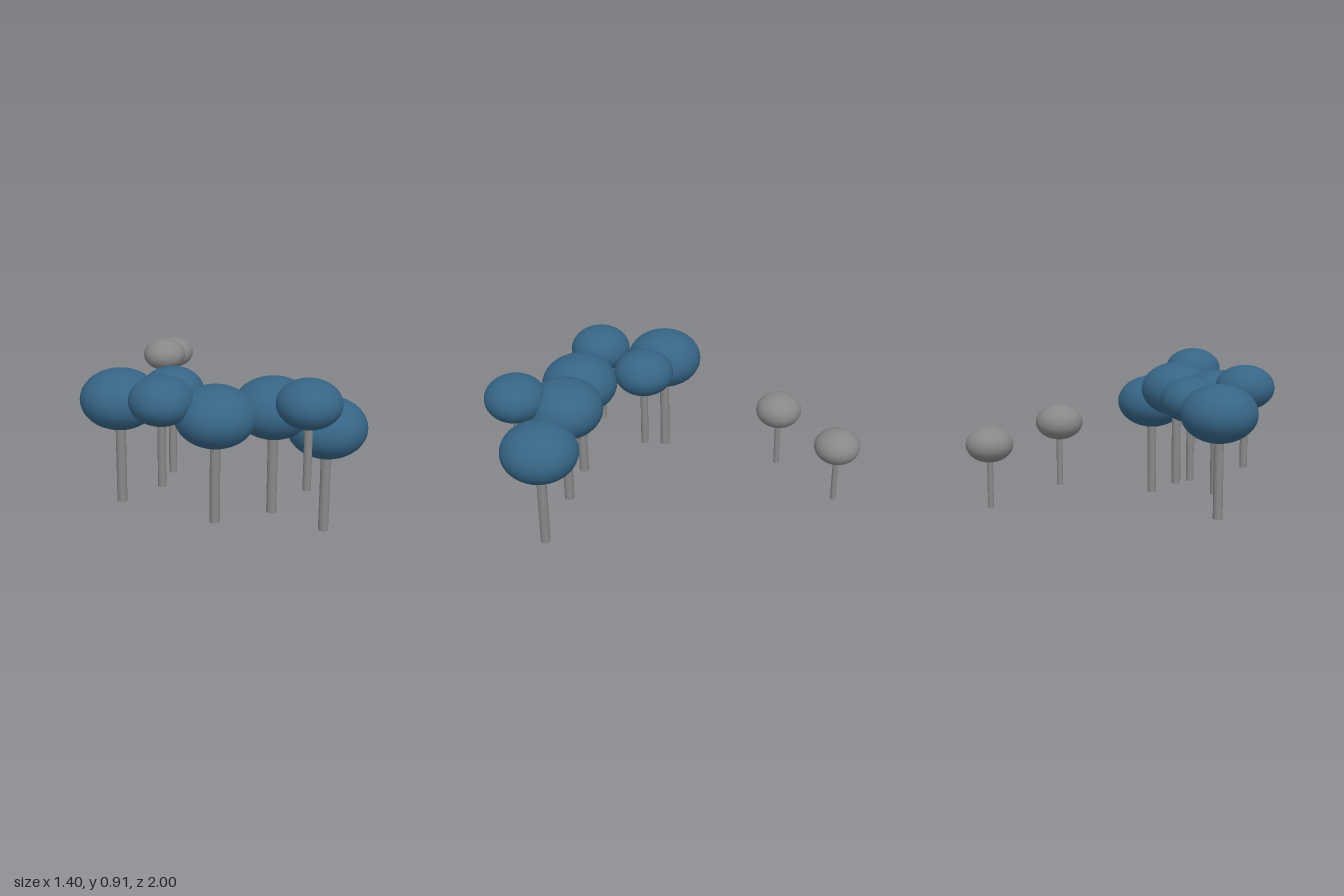
import * as THREE from 'three';

const grey = new THREE.MeshStandardMaterial({ color: 0x888888 });
const blue = new THREE.MeshStandardMaterial({ color: 0x366586 });

// Full-size tree proportions; smaller trees are uniformly scaled
const CROWN_Y = 0.582, CROWN_R = 0.211, CROWN_H = 0.159, TRUNK_R = 0.027;
const crownGeometry = new THREE.SphereGeometry(1, 32, 20).scale(CROWN_R, CROWN_H, CROWN_R).translate(0, CROWN_Y, 0);
const trunkGeometry = new THREE.CylinderGeometry(TRUNK_R, TRUNK_R, CROWN_Y, 24).translate(0, CROWN_Y / 2, 0);

function makeTree(name, x, y, z, size, crownMaterial) {
  const tree = new THREE.Group();
  tree.name = name;
  const trunk = new THREE.Mesh(trunkGeometry, grey);
  trunk.name = 'trunk';
  const crown = new THREE.Mesh(crownGeometry, crownMaterial);
  crown.name = 'crown';
  tree.add(trunk, crown);
  tree.position.set(x, y, z);
  tree.scale.setScalar(size);
  return tree;
}

export function createModel() {
  const group = new THREE.Group();
  group.name = 'treeCluster';

  const LARGE = 1, MEDIUM = 0.79, SMALL = 0.577;
  // Foot position of each tree, size and crown colour
  const trees = [
    ['largeTree', -0.492, 0.108, 0.188, LARGE, blue],
    ['largeTree', -0.103, 0.104, 0.593, LARGE, blue],
    ['largeTree', 0.213, 0.116, 0.592, LARGE, blue],
    ['largeTree', 0.487, 0, 0.657, LARGE, blue],
    ['mediumTree', -0.369, 0.32, 0.537, MEDIUM, blue],
    ['mediumTree', -0.222, 0.267, 0.25, MEDIUM, blue],
    ['mediumTree', 0.305, 0.327, 0.832, MEDIUM, blue],
    ['smallTree', -0.029, 0.345, -0.543, SMALL, grey],
    ['smallTree', 0.129, 0.249, -0.879, SMALL, grey],
  ];
  for (const t of trees) group.add(makeTree(...t));
  return group;
}
